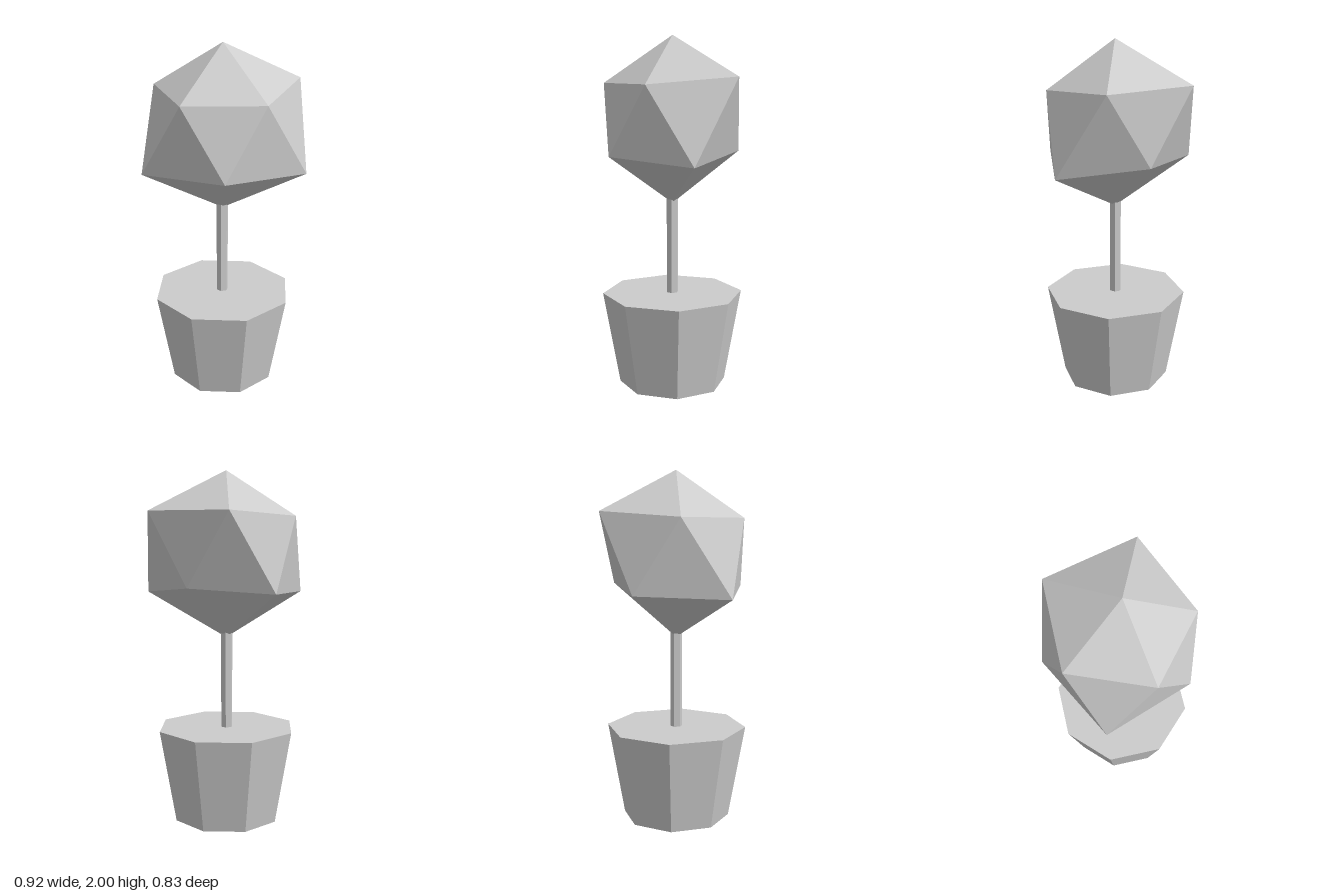
import * as THREE from 'three';

const greyMaterial = new THREE.MeshStandardMaterial({ color: 0xcccccc });
greyMaterial.name = 'grey';

// Straight tapered prism standing between two heights
function prism(name, rTop, rBottom, y0, y1, sides, turn, x, z) {
  const geo = new THREE.CylinderGeometry(rTop, rBottom, y1 - y0, sides).toNonIndexed();
  geo.computeVertexNormals();
  const mesh = new THREE.Mesh(geo, greyMaterial);
  mesh.name = name;
  mesh.position.set(x, (y0 + y1) / 2, z);
  mesh.rotation.y = turn;
  return mesh;
}

// Irregular icosahedron: two tips joined by two staggered five-point rings
function crown() {
  const top = [0.005, 2, 0.01];
  const bottom = [0.005, 1.06, 0.01];
  const upper = [
    [0.46, 1.775, 0.01], [0.122, 1.735, 0.37], [-0.308, 1.737, 0.238],
    [-0.317, 1.747, -0.226], [0.145, 1.775, -0.417],
  ];
  const lower = [
    [0.388, 1.312, 0.29], [-0.12, 1.345, 0.398], [-0.462, 1.312, 0.01],
    [-0.127, 1.332, -0.4], [0.308, 1.362, -0.205],
  ];
  const points = [];
  for (let i = 0; i < 5; i++) {
    const j = (i + 1) % 5;
    points.push(top, upper[j], upper[i]);
    points.push(upper[i], upper[j], lower[i]);
    points.push(lower[i], upper[j], lower[j]);
    points.push(lower[i], lower[j], bottom);
  }
  const geo = new THREE.BufferGeometry();
  geo.setAttribute('position', new THREE.Float32BufferAttribute(points.flat(), 3));
  geo.computeVertexNormals();
  const mesh = new THREE.Mesh(geo, greyMaterial);
  mesh.name = 'foliage';
  return mesh;
}

export function createModel() {
  const model = new THREE.Group();
  model.name = 'pottedTree';
  model.add(
    prism('pot', 0.403, 0.308, 0, 0.535, 8, 0, 0.004, 0.01), // octagonal planter
    prism('trunk', 0.034, 0.034, 0.53, 1.09, 6, Math.PI / 6, 0.002, 0.009), // hexagonal stem
    crown(),
  );
  return model;
}
